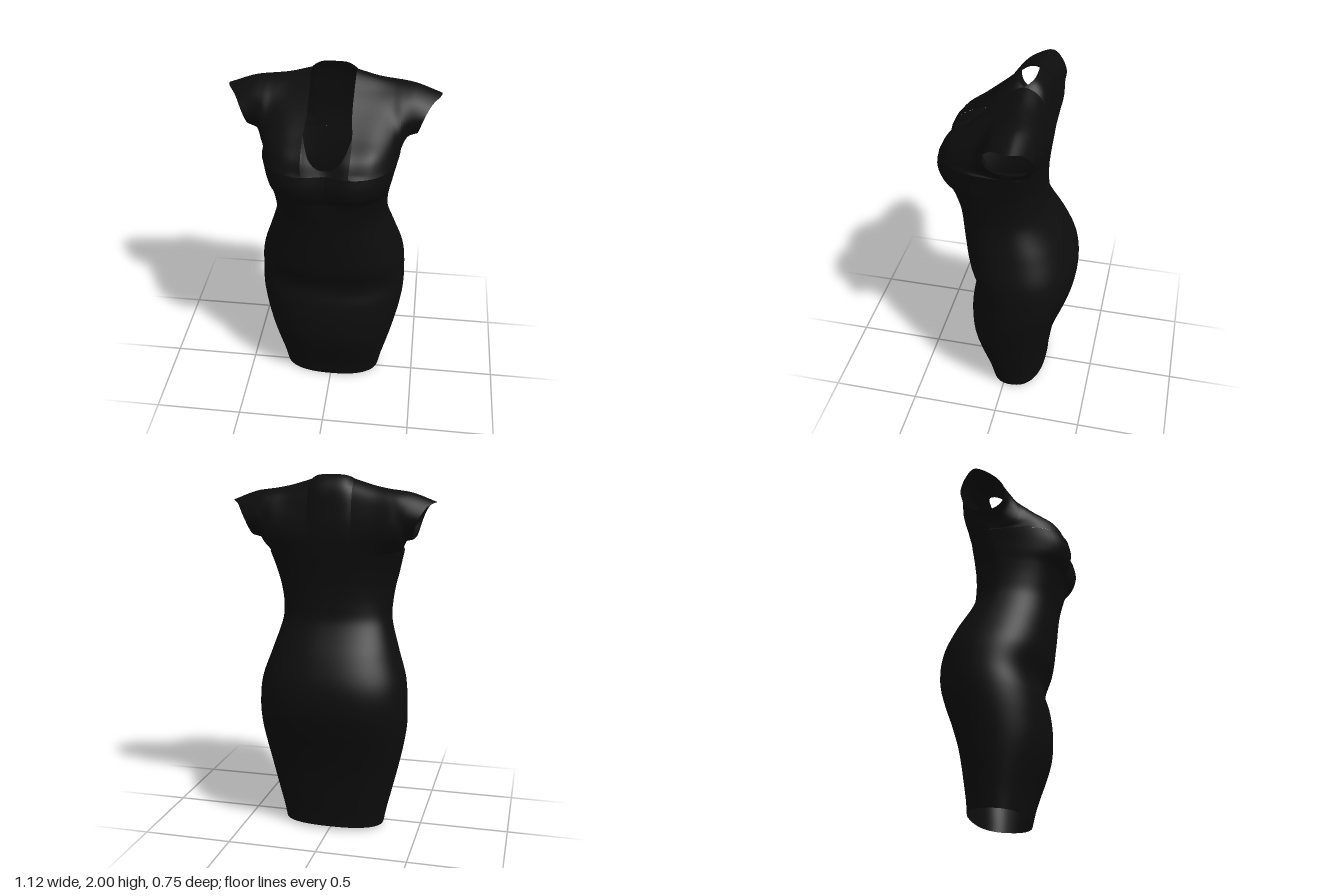
import * as THREE from 'three';

// Body sections: y, half width, front z, back z, side z, front squareness, bust cleft
const SECTIONS = [
  [0.00, 0.287, 0.105, -0.215, -0.055, 2.5, 0],
  [0.10, 0.307, 0.130, -0.222, -0.055, 2.5, 0],
  [0.34, 0.365, 0.213, -0.257, -0.055, 2.4, 0],
  [0.50, 0.400, 0.225, -0.302, -0.06, 2.3, 0],
  [0.62, 0.417, 0.212, -0.345, -0.07, 2.3, 0],
  [0.74, 0.418, 0.185, -0.375, -0.08, 2.3, 0],
  [0.88, 0.405, 0.232, -0.366, -0.07, 2.3, 0],
  [1.03, 0.357, 0.258, -0.307, -0.04, 2.3, 0],
  [1.20, 0.308, 0.280, -0.205, 0.00, 2.3, 0],
  [1.30, 0.308, 0.303, -0.188, 0.02, 2.4, 0.005],
  [1.40, 0.322, 0.332, -0.186, 0.01, 2.8, 0.02],
  [1.44, 0.331, 0.366, -0.189, 0.00, 3.0, 0.03],
  [1.51, 0.346, 0.386, -0.196, -0.03, 3.2, 0.035],
  [1.58, 0.365, 0.372, -0.205, -0.06, 3.2, 0.03],
];
const TOP = 1.58;
const V = (x, y, z) => new THREE.Vector3(x, y, z);

// Smooth interpolation of the section table at height y
function section(y) {
  const last = SECTIONS.length - 1;
  let i = 0;
  while (i < last - 1 && y > SECTIONS[i + 1][0]) i++;
  const a = SECTIONS[i], b = SECTIONS[i + 1];
  const p = SECTIONS[Math.max(i - 1, 0)], q = SECTIONS[Math.min(i + 2, last)];
  const h = b[0] - a[0], t = (y - a[0]) / h, t2 = t * t, t3 = t2 * t;
  return a.map((v, k) => {
    const m0 = h * (b[k] - p[k]) / (b[0] - p[0]);
    const m1 = h * (q[k] - v) / (q[0] - a[0]);
    return (2 * t3 - 3 * t2 + 1) * v + (t3 - 2 * t2 + t) * m0 + (3 * t2 - 2 * t3) * b[k] + (t3 - t2) * m1;
  });
}

// Point on the body; angle 0 is the front centre, PI/2 the left side
function ring(y, angle) {
  const [, w, front, back, side, squareness, cleft] = section(y);
  const s = Math.sin(angle), c = Math.cos(angle);
  const n = c > 0 ? squareness : 2.4;
  const r = Math.pow(Math.abs(s) ** n + Math.abs(c) ** n, -1 / n);
  const x = w * s * r;
  let z = side + (c > 0 ? front - side : side - back) * c * r;
  if (c > 0) z -= cleft * Math.exp(-((x / 0.085) ** 2));
  const hem = 0.01 * (1 - c) * Math.max(0, 1 - y / 0.2);
  return V(x, y + hem, z);
}

// Smooth sheet from a function of u and v
function sheet(nu, nv, point) {
  const pos = [], index = [];
  for (let i = 0; i <= nu; i++)
    for (let j = 0; j <= nv; j++) {
      pos.push(...point(i / nu, j / nv).toArray());
      if (i < nu && j < nv) {
        const a = i * (nv + 1) + j, b = a + nv + 1;
        index.push(a, b, a + 1, b, b + 1, a + 1);
      }
    }
  const g = new THREE.BufferGeometry();
  g.setAttribute('position', new THREE.Float32BufferAttribute(pos, 3));
  g.setIndex(index);
  g.computeVertexNormals();
  return g;
}

// Arches over the shoulder, front to back, from the neck edge out to the cuff
const FRONT_ANGLES = [0.32, 0.63, 0.935, Math.PI / 2];
const BACK_ANGLES = [0.325, 0.666, 1.03, Math.PI / 2].map(a => Math.PI - a);
const ARCHES = [
  [[.125, 1.66, .32], [.125, 1.74, .215], [.115, 1.82, .125], [.115, 1.9, .035], [.118, 1.975, -.08],
    [.12, 1.93, -.165], [.12, 1.8, -.2], [.12, 1.68, -.21]],
  [[.24, 1.66, .29], [.24, 1.73, .2], [.24, 1.81, .1], [.235, 1.89, 0], [.23, 1.942, -.09],
    [.24, 1.9, -.165], [.24, 1.8, -.2], [.24, 1.68, -.21]],
  [[.325, 1.65, .2], [.32, 1.72, .15], [.31, 1.8, .08], [.31, 1.88, 0], [.31, 1.926, -.1],
    [.32, 1.89, -.17], [.325, 1.8, -.205], [.325, 1.67, -.205]],
  [[.362, 1.63, .1], [.36, 1.7, .11], [.36, 1.78, .08], [.36, 1.87, .01], [.37, 1.918, -.1],
    [.37, 1.88, -.175], [.375, 1.78, -.205], [.37, 1.66, -.19]],
  [[.4, 1.66, .01], [.405, 1.71, .05], [.41, 1.77, .06], [.42, 1.86, .01], [.43, 1.908, -.1],
    [.42, 1.87, -.17], [.41, 1.78, -.205], [.4, 1.68, -.165]],
  [[.445, 1.675, 0], [.455, 1.72, .045], [.475, 1.78, .05], [.51, 1.835, 0], [.562, 1.86, -.1],
    [.52, 1.84, -.16], [.475, 1.77, -.2], [.445, 1.685, -.16]],
];
const UNDERARM = [V(0.39, 1.645, -0.075), V(0.435, 1.66, -0.075)];
const archCurves = ARCHES.map((pts, i) => {
  const start = i < 4 ? ring(TOP, FRONT_ANGLES[i]) : UNDERARM[i - 4];
  const end = i < 4 ? ring(TOP, BACK_ANGLES[i]) : UNDERARM[i - 4];
  return new THREE.CatmullRomCurve3([start, ...pts.map(p => V(...p)), end]);
});

function lerpList(list, t) {
  const i = Math.min(Math.floor(t), list.length - 2);
  return THREE.MathUtils.lerp(list[i], list[i + 1], t - i);
}

// Point on shoulder and sleeve: k runs 0 (neck) to 3 (armhole) to 5 (cuff)
function shoulderPoint(k, v) {
  if (k <= 3 && v === 0) return ring(TOP, lerpList(FRONT_ANGLES, k));
  if (k <= 3 && v === 1) return ring(TOP, lerpList(BACK_ANGLES, k));
  return new THREE.CatmullRomCurve3(archCurves.map(c => c.getPoint(v))).getPoint(k / 5);
}

// Centre panels follow the neck-edge arch
function frontPanel(u, v) {
  const s = u * 2 - 1;
  const reach = 0.035 + (2 / 9 - 0.035) * Math.abs(s) ** 2.5;
  const rise = archCurves[0].getPoint(v * reach).sub(archCurves[0].getPoint(0));
  rise.x *= s;
  return ring(TOP, s * FRONT_ANGLES[0]).add(rise);
}
function backPanel(u, v) {
  const s = u * 2 - 1;
  const rise = archCurves[0].getPoint(1 - v * 4 / 9).sub(archCurves[0].getPoint(1));
  rise.x *= s;
  const lift = (1 - s ** 4) * v ** 3;
  return ring(TOP, Math.PI - s * (Math.PI - BACK_ANGLES[0])).add(rise).add(V(0, 0.025 * lift, -0.042 * lift));
}

export function createModel() {
  const model = new THREE.Group();
  model.name = 'dress';
  const fabric = new THREE.MeshStandardMaterial({ color: 0x0d0d0d, side: THREE.DoubleSide });
  fabric.name = 'black fabric';
  const add = (name, geometry) => {
    const mesh = new THREE.Mesh(geometry, fabric);
    mesh.name = name;
    model.add(mesh);
  };

  // Skirt, waist and bust in one tube, open at the hem
  add('dressBody', sheet(72, 80, (u, v) => ring(v * TOP, u * Math.PI * 2)));
  add('frontNeckPanel', sheet(20, 8, frontPanel));
  add('backNeckPanel', sheet(16, 24, backPanel));

  // Shoulders and cap sleeves, mirrored
  for (const [side, sx] of [['left', 1], ['right', -1]]) {
    const mirror = V(sx, 1, 1);
    add(side + 'Shoulder', sheet(24, 54, (u, v) => shoulderPoint(u * 3, v).multiply(mirror)));
    add(side + 'CapSleeve', sheet(14, 54, (u, v) => shoulderPoint(3 + u * 2, v).multiply(mirror)));
  }
  return model;
}
